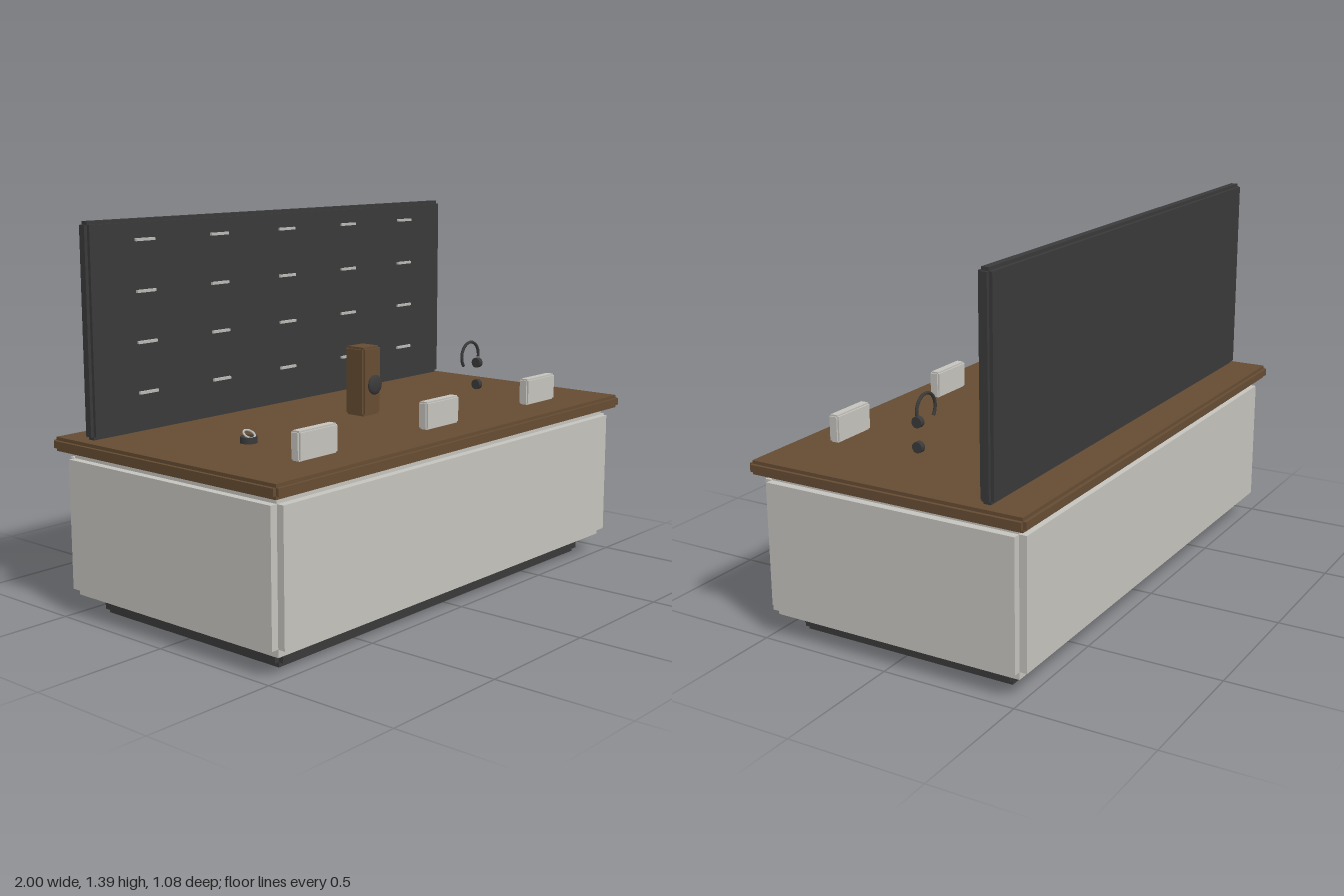
import * as THREE from 'three';
import { mergeGeometries } from 'three/addons/utils/BufferGeometryUtils.js';

const mat = (name, color) => new THREE.MeshStandardMaterial({ name, color });

// Box with notched edges: three crossing boxes, each full size along one axis only
function steppedBox(w, h, d, b) {
  const c = 2 * b;
  return mergeGeometries([
    new THREE.BoxGeometry(w, h - c, d - c),
    new THREE.BoxGeometry(w - c, h, d - c),
    new THREE.BoxGeometry(w - c, h - c, d),
  ]);
}

export function createModel() {
  const group = new THREE.Group();
  group.name = 'displayCounter';
  const cream = mat('cream', 0xc6c4be);
  const wood = mat('wood', 0x664c33);
  const charcoal = mat('charcoal', 0x3a3a3a);
  const steel = mat('steel', 0xb9b9b6);

  const add = (name, geometry, material, x, y, z, parent = group) => {
    const mesh = new THREE.Mesh(geometry, material);
    mesh.name = name;
    mesh.position.set(x, y, z);
    parent.add(mesh);
    return mesh;
  };

  // Counter
  add('plinth', steppedBox(1.77, 0.09, 0.87, 0.018), charcoal, 0, 0.045, 0);
  add('counterBody', steppedBox(1.94, 0.525, 1.03, 0.028), cream, 0, 0.3325, 0);
  add('worktop', steppedBox(2, 0.05, 1.08, 0.012), wood, 0, 0.62, 0);

  // Back panel with a grid of small rails
  add('backPanel', steppedBox(1.93, 0.747, 0.05, 0.012), charcoal, 0, 1.0215, -0.38);
  const railGeometry = new THREE.BoxGeometry(0.086, 0.01, 0.009);
  for (let row = 0; row < 4; row++) {
    for (let col = 0; col < 5; col++) {
      add('rail', railGeometry, steel, (col - 2) * 0.357, 0.788 + row * 0.1785, -0.3505);
    }
  }

  // Blank cards along the front of the worktop
  const cardGeometry = steppedBox(0.19, 0.1, 0.04, 0.006);
  for (const x of [-0.66, 0, 0.627]) add('card', cardGeometry, cream, x, 0.703, 0.388);

  // Speaker
  add('speakerBox', steppedBox(0.1, 0.257, 0.092, 0.008), wood, 0, 0.78, 0.032);
  const cone = add('speakerCone', new THREE.SphereGeometry(0.037, 24, 16), charcoal, 0, 0.768, 0.09);
  cone.scale.z = 0.33;

  // Headphones
  const headphones = new THREE.Group();
  headphones.name = 'headphones';
  headphones.position.set(0.626, 0.8, 0.065);
  group.add(headphones);
  const band = add('headband', new THREE.TorusGeometry(0.056, 0.006, 8, 36, 4.0), charcoal, 0, 0, 0, headphones);
  band.rotation.z = -0.17;
  const cupGeometry = new THREE.CylinderGeometry(0.02, 0.02, 0.02, 20);
  for (const y of [-0.033, -0.122]) {
    add('earCup', cupGeometry, charcoal, 0.049, y, 0, headphones).rotation.z = Math.PI / 2;
  }

  // Watch: dark case with a steel ring standing on it
  add('watchCase', new THREE.CylinderGeometry(0.03, 0.03, 0.022, 20), charcoal, -0.657, 0.667, 0.084);
  const ring = add('watchRing', new THREE.TorusGeometry(0.021, 0.004, 8, 24), steel, -0.657, 0.686, 0.087);
  ring.rotation.x = -1.0;

  return group;
}
